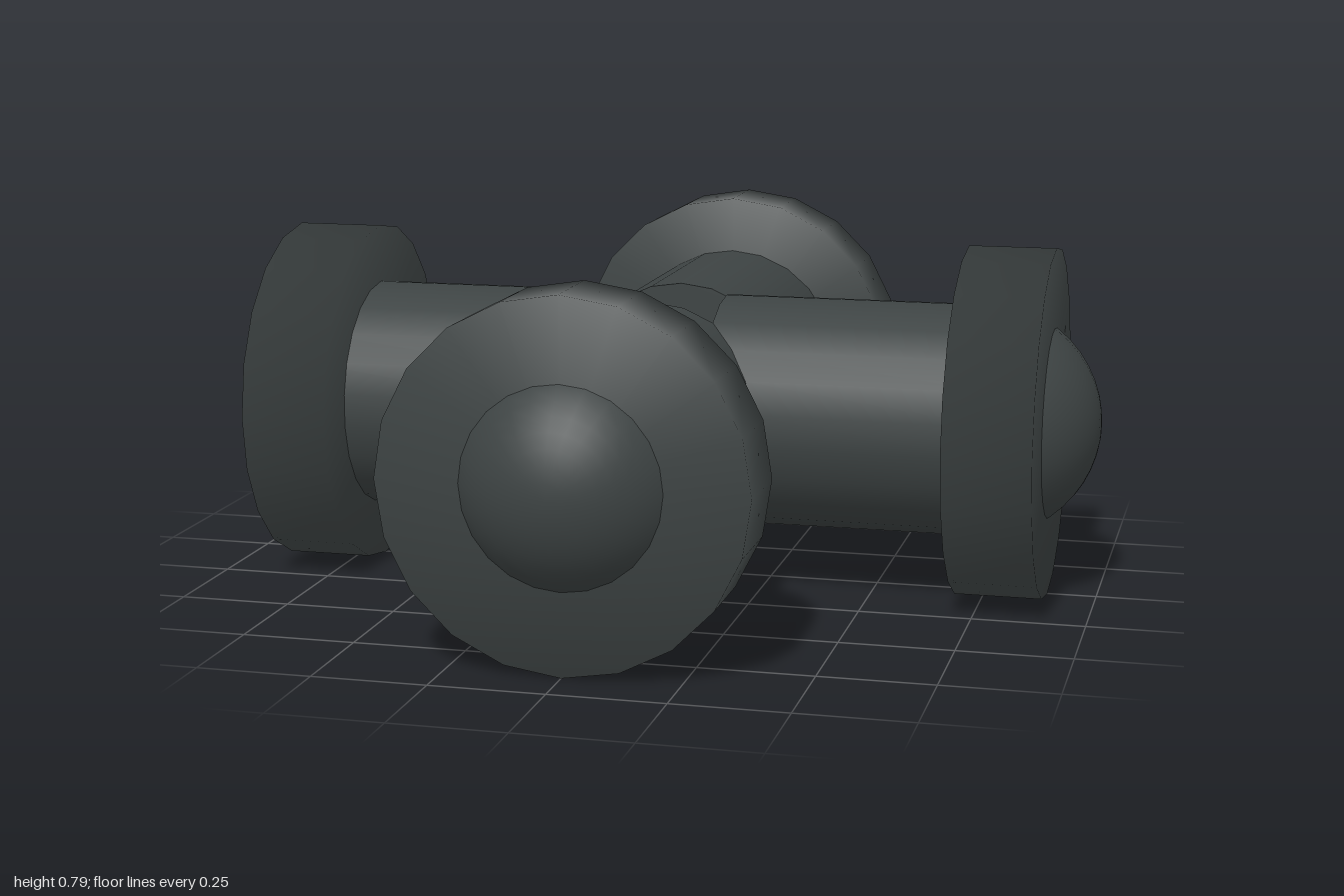
import * as THREE from 'three';

const AXIS_Y = 0.395;      // height of the pipe axes
const R = 0.262;           // pipe radius
const SIDES = 22;          // pipe sides
const HOLE = R * Math.sin((4 * Math.PI) / SIDES); // half width of the top opening
const FLOOR = -0.2;        // opening floor, relative to the axes

const metal = new THREE.MeshStandardMaterial({ color: 0x3d4343 });
metal.name = 'dark grey metal';
const black = new THREE.MeshStandardMaterial({ color: 0x080808 });
black.name = 'black interior';

function mesh(name, geometry, material = metal) {
  const m = new THREE.Mesh(geometry, material);
  m.name = name;
  return m;
}

// Pipe along +z: inner end mitred at 45 degrees, trimmed on top around the opening
function pipeGeometry() {
  const g = new THREE.CylinderGeometry(R, R, 0.8, SIDES, 1, true);
  g.rotateX(Math.PI / 2);
  const p = g.attributes.position;
  for (let i = 0; i < p.count; i++) {
    const side = Math.abs(p.getX(i));
    if (p.getZ(i) > 0) p.setZ(i, 0.8);
    else p.setZ(i, p.getY(i) > 0 ? Math.max(side, HOLE) : side);
  }
  return g;
}

// Wall closing the pipe towards the opening, arched at the top
function wallGeometry() {
  const points = [new THREE.Vector2(-HOLE, FLOOR), new THREE.Vector2(HOLE, FLOOR)];
  for (let k = 2; k >= -2; k--) {
    const a = (k * 2 * Math.PI) / SIDES;
    points.push(new THREE.Vector2(R * Math.sin(a), R * Math.cos(a)));
  }
  return new THREE.ShapeGeometry(new THREE.Shape(points)).rotateY(Math.PI).translate(0, 0, HOLE);
}

// Thick disc with soft shading over its rim
function flangeGeometry() {
  const profile = [[0, 0.695], [0.395, 0.695], [0.395, 0.89], [0, 0.89]];
  return new THREE.LatheGeometry(profile.map(([x, y]) => new THREE.Vector2(x, y)), 20)
    .rotateX(Math.PI / 2);
}

// Domed end cap, mostly sunk into the flange
function domeGeometry() {
  return new THREE.SphereGeometry(0.265, 24, 8, 0, Math.PI * 2, 0, Math.PI / 3)
    .rotateX(Math.PI / 2).translate(0, 0, 0.735);
}

export function createModel() {
  const model = new THREE.Group();
  model.name = 'pipe cross';

  const parts = {
    Pipe: pipeGeometry(),
    OpeningWall: wallGeometry(),
    Flange: flangeGeometry(),
    EndDome: domeGeometry(),
  };

  // Four identical arms around the centre
  ['front', 'left', 'back', 'right'].forEach((side, i) => {
    const arm = new THREE.Group();
    arm.name = side + 'Arm';
    arm.position.y = AXIS_Y;
    arm.rotation.y = (i * Math.PI) / 2;
    for (const [part, geometry] of Object.entries(parts)) arm.add(mesh(side + part, geometry));
    model.add(arm);
  });

  // Dark floor of the central opening
  const floor = mesh('openingFloor', new THREE.PlaneGeometry(HOLE * 2, HOLE * 2).rotateX(-Math.PI / 2), black);
  floor.position.y = AXIS_Y + FLOOR;
  model.add(floor);

  return model;
}
